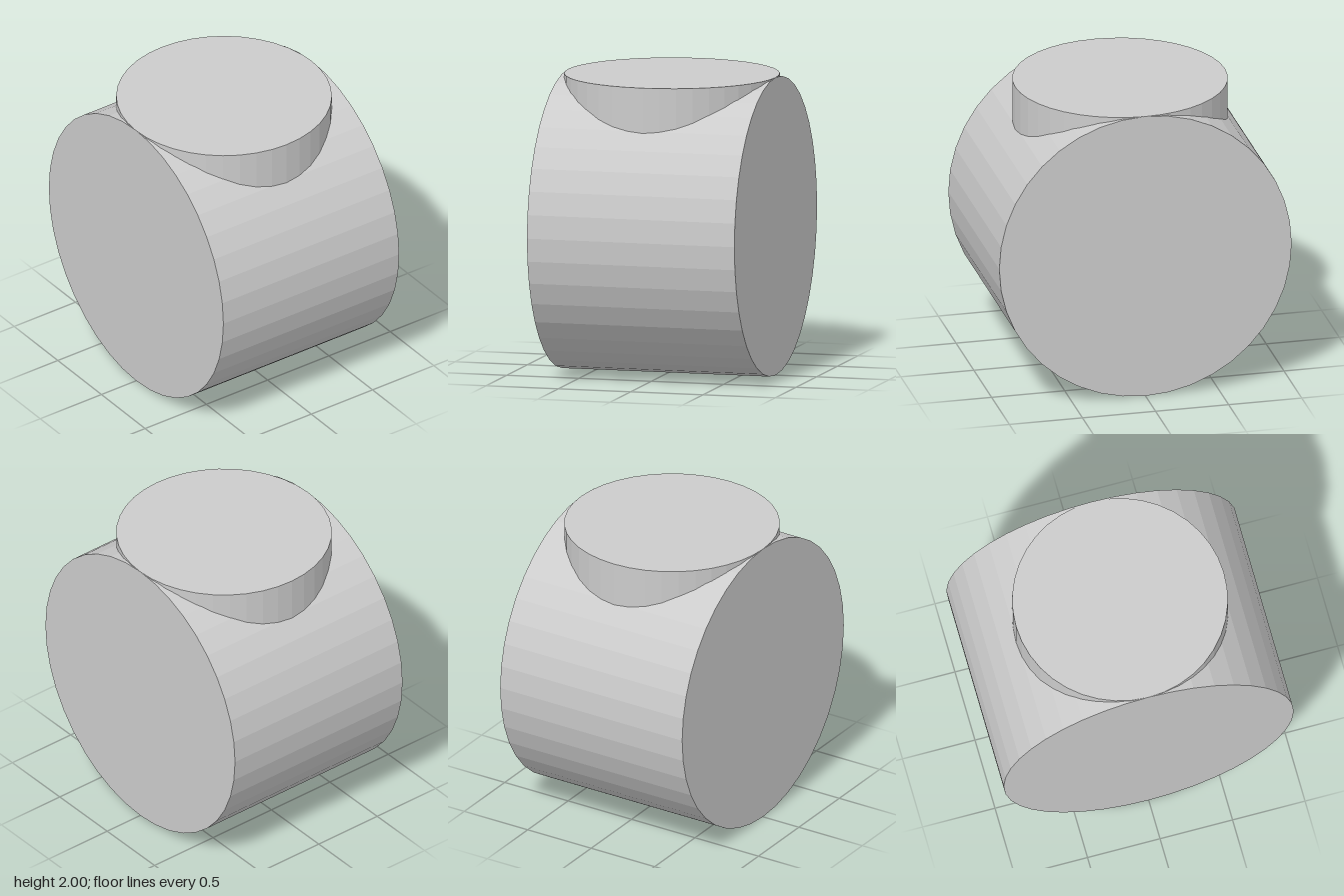
import * as THREE from 'three';

const HALF_LENGTH = 0.717; // half the drum's length, also the radius of the boss
const SEGMENTS = 40;

export function createModel() {
  const model = new THREE.Group();
  const material = new THREE.MeshStandardMaterial({ color: 0xcccccc, flatShading: true });

  function addPart(name, geometry) {
    const mesh = new THREE.Mesh(geometry, material);
    mesh.name = name;
    model.add(mesh);
  }

  // Large drum lying along z
  const drum = new THREE.CylinderGeometry(1, 1, HALF_LENGTH * 2, SEGMENTS);
  drum.rotateX(Math.PI / 2).translate(0, 1, 0);
  addPart('drum', drum);

  // Upright round boss, its top level with the crown of the drum and its foot sunk inside
  const bossHeight = 0.6;
  const boss = new THREE.CylinderGeometry(HALF_LENGTH, HALF_LENGTH, bossHeight, SEGMENTS);
  boss.translate(0, 2 - bossHeight / 2, 0);
  addPart('topBoss', boss);

  return model;
}
